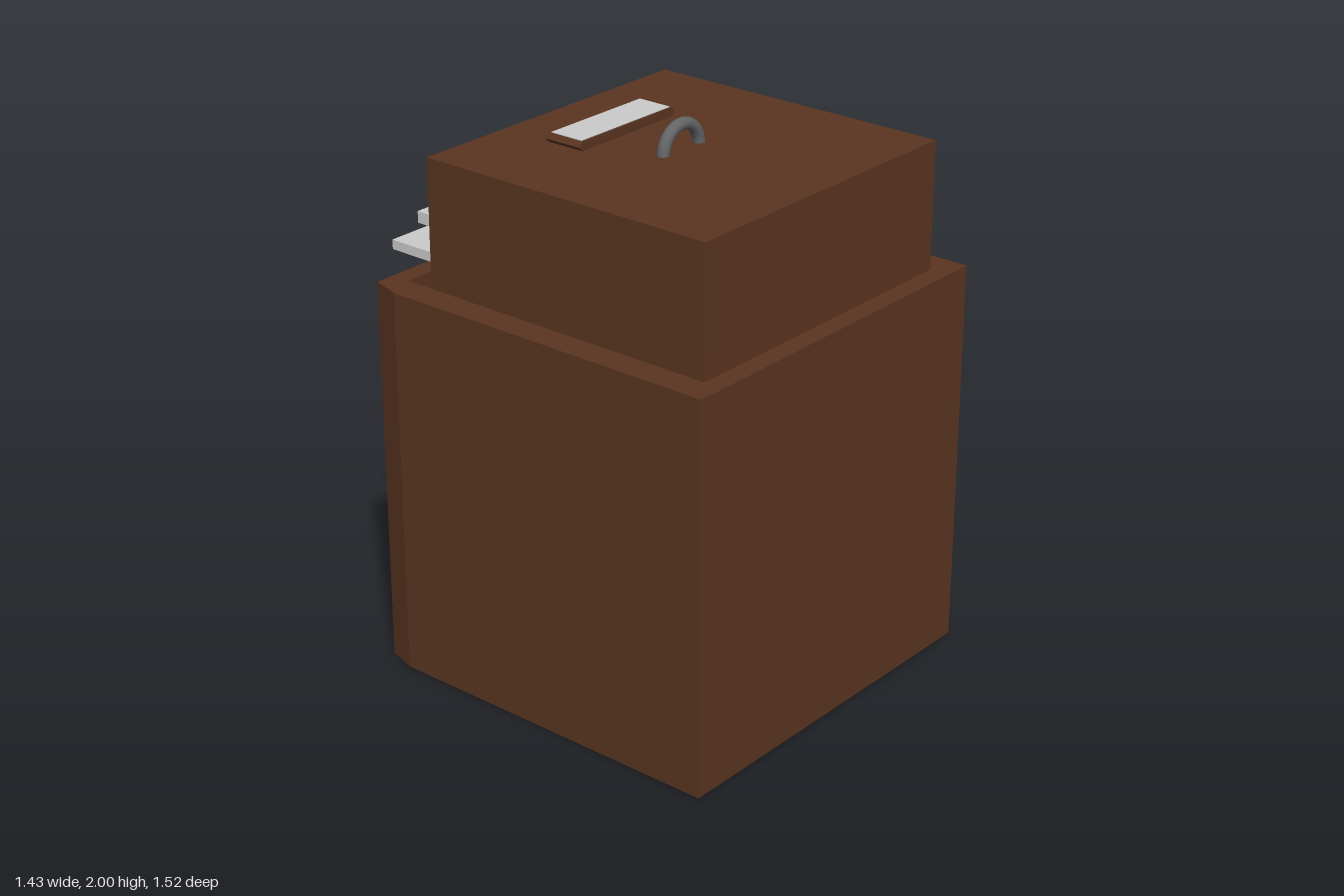
import * as THREE from 'three';

const wood = new THREE.MeshStandardMaterial({ color: 0x5a3520, flatShading: true });
const metal = new THREE.MeshStandardMaterial({ color: 0x626466 });
const paper = new THREE.MeshStandardMaterial({ color: 0xcccccc, flatShading: true });

function add(parent, name, geometry, material) {
  const mesh = new THREE.Mesh(geometry, material);
  mesh.name = name;
  parent.add(mesh);
  return mesh;
}

// Box given by its lower and upper bounds on each axis
function box(parent, name, [x0, x1], [y0, y1], [z0, z1], material) {
  const mesh = add(parent, name, new THREE.BoxGeometry(x1 - x0, y1 - y0, z1 - z0), material);
  mesh.position.set((x0 + x1) / 2, (y0 + y1) / 2, (z0 + z1) / 2);
  return mesh;
}

// Plan outline given as [x, z] pairs, extruded upwards
function slab(parent, name, outline, y0, y1, material, hole) {
  const points = (list) => list.map(([x, z]) => new THREE.Vector2(x, -z));
  const shape = new THREE.Shape(points(outline));
  if (hole) shape.holes.push(new THREE.Path(points(hole)));
  const geometry = new THREE.ExtrudeGeometry(shape, { depth: y1 - y0, bevelEnabled: false });
  geometry.rotateX(-Math.PI / 2);
  geometry.translate(0, y0, 0);
  return add(parent, name, geometry, material);
}

export function createModel() {
  const model = new THREE.Group();
  model.name = 'openFileDrawer';

  // Cabinet shell with chamfered back corners and a drawer well
  const plan = [[-0.713, 0.76], [0.713, 0.76], [0.713, -0.56], [0.68, -0.67], [-0.68, -0.67], [-0.713, -0.56]];
  const well = [[-0.607, 0.686], [0.607, 0.686], [0.607, -0.6], [-0.607, -0.6]];
  slab(model, 'cabinetBase', plan, 0, 0.1, wood);
  slab(model, 'cabinetShell', plan, 0.1, 1.43, wood, well);

  // Pulled-out drawer, open at the back
  const drawer = new THREE.Group();
  drawer.name = 'drawer';
  model.add(drawer);
  box(drawer, 'drawerFace', [-0.605, 0.605], [1.85, 1.893], [-0.49, 0.685], wood);
  box(drawer, 'drawerFloor', [-0.605, 0.605], [0.3, 1.85], [0.645, 0.685], wood);
  box(drawer, 'drawerEnd', [-0.605, 0.605], [0.3, 0.34], [-0.49, 0.645], wood);
  for (const side of [-1, 1]) {
    const wall = box(drawer, 'drawerSide', [-0.605, -0.57], [0.3, 1.85], [-0.49, 0.645], wood);
    wall.position.x *= side;
  }

  // Folders standing at different heights in the drawer
  const files = new THREE.Group();
  files.name = 'files';
  model.add(files);
  box(files, 'folder', [-0.55, 0.46], [1.805, 1.835], [-0.45, 0.62], paper);
  box(files, 'folder', [-0.53, 0.48], [1.76, 1.785], [-0.4, 0.62], paper);
  slab(files, 'slantedFolder', [[-0.52, 0.62], [0.53, 0.62], [0.53, -0.3], [0.48, -0.573], [-0.515, -0.573]], 1.643, 1.685, paper);
  box(files, 'folder', [-0.51, 0.462], [1.6, 1.642], [-0.638, 0.62], paper);
  box(files, 'folder', [-0.515, 0.512], [1.475, 1.51], [-0.76, 0.62], paper);
  for (let i = 0; i < 4; i++) {
    const y = 1.32 - i * 0.22;
    box(files, 'storedFolder', [-0.5, 0.5], [y, y + 0.035], [-0.44, 0.62], paper);
  }

  // Label holder: a frame with sloping ends around a card
  const plate = new THREE.Shape([[-0.23, 0], [0.23, 0], [0.245, 0.016], [0.23, 0.034], [-0.23, 0.034], [-0.245, 0.016]]
    .map(([x, y]) => new THREE.Vector2(x, y)));
  const holder = add(model, 'labelFrame', new THREE.ExtrudeGeometry(plate, { depth: 0.15, bevelEnabled: false }), wood);
  holder.position.set(-0.003, 1.892, -0.29);
  box(model, 'labelCard', [-0.23, 0.222], [1.9, 1.928], [-0.28, -0.147], paper);

  // Arched pull handle
  const handle = add(model, 'pullHandle', new THREE.TorusGeometry(0.092, 0.022, 16, 32, Math.PI), metal);
  handle.position.set(-0.003, 1.886, 0.09);

  return model;
}
